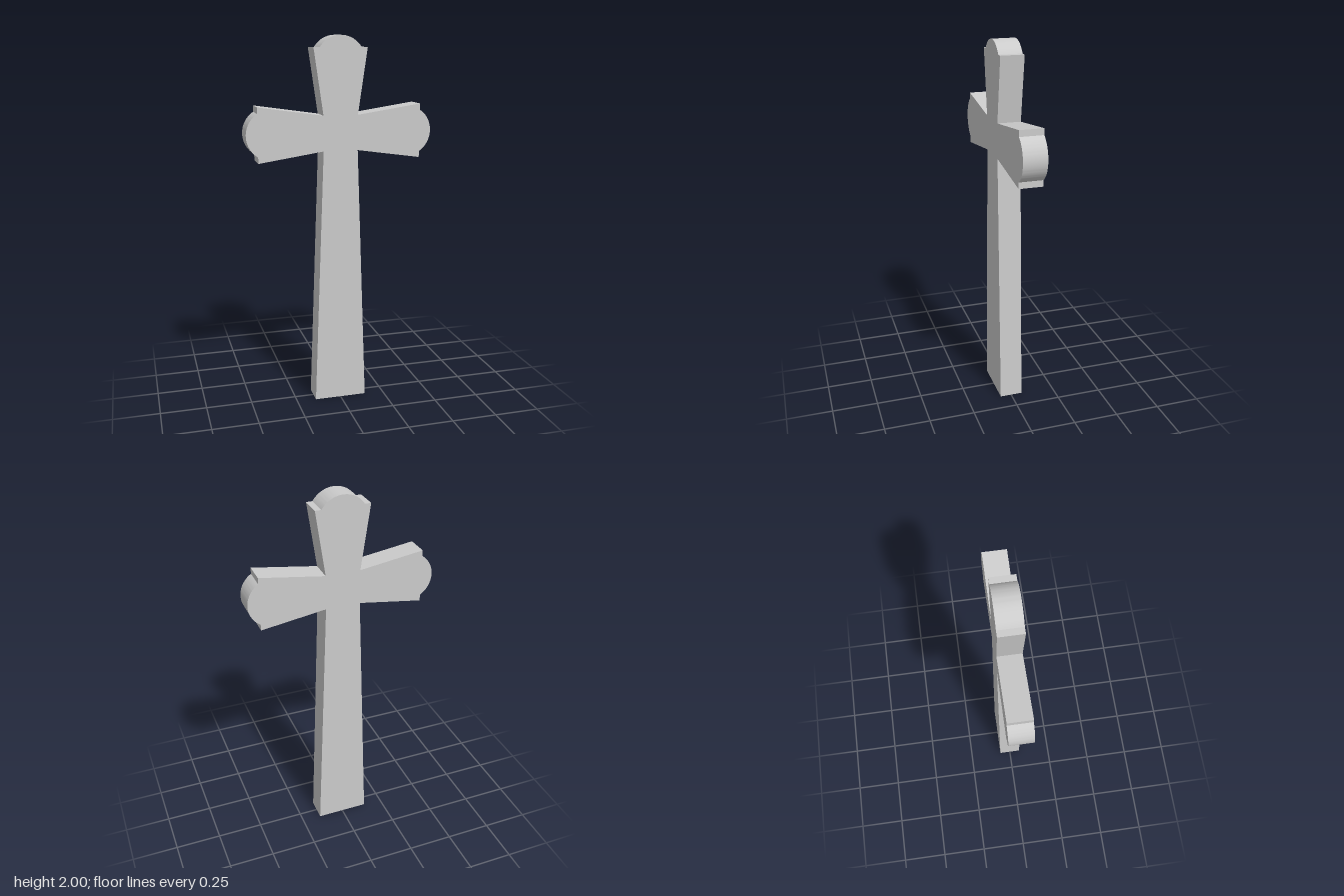
import * as THREE from 'three';
import { toCreasedNormals } from 'three/addons/utils/BufferGeometryUtils.js';

const CENTRE_Y = 1.5;
const DEPTH = 0.125;
const INNER = 0.093;     // half width where the arms meet
const FLARE = 0.144;     // half width at the end of each arm
const ARM = 0.439;       // centre to the shoulders of an arm
const TIP = 0.5;         // centre to the tip of a rounded cap
const CAP_HALF = 0.111;  // half width of a rounded cap

// Rounded end of an arm pointing along +x, from its lower to its upper corner
function capPoints(segments = 32) {
  const rise = TIP - ARM;
  const radius = (CAP_HALF ** 2 + rise ** 2) / (2 * rise);
  const half = Math.asin(CAP_HALF / radius);
  const points = [];
  for (let i = 0; i <= segments; i++) {
    const a = -half + (2 * half * i) / segments;
    points.push(new THREE.Vector2(TIP - radius + radius * Math.cos(a), radius * Math.sin(a)));
  }
  return points;
}

export function createModel() {
  const group = new THREE.Group();
  group.name = 'cross';

  // Outline: right, top and left arms share one profile, turned in quarter steps
  const arm = [
    new THREE.Vector2(INNER, -INNER),
    new THREE.Vector2(ARM, -FLARE),
    ...capPoints(),
    new THREE.Vector2(ARM, FLARE),
  ];
  const origin = new THREE.Vector2();
  const outline = [];
  for (let i = 0; i < 3; i++) {
    for (const p of arm) outline.push(p.clone().rotateAround(origin, (i * Math.PI) / 2));
  }

  // Long flared shaft with a flat foot
  outline.push(
    new THREE.Vector2(-INNER, -INNER),
    new THREE.Vector2(-FLARE, -CENTRE_Y),
    new THREE.Vector2(FLARE, -CENTRE_Y),
  );

  // Flat slab with sharp edges and smooth caps
  const slab = new THREE.ExtrudeGeometry(new THREE.Shape(outline), {
    depth: DEPTH,
    bevelEnabled: false,
  });
  slab.translate(0, CENTRE_Y, -DEPTH / 2);
  const body = new THREE.Mesh(
    toCreasedNormals(slab, Math.PI / 9),
    new THREE.MeshStandardMaterial({ color: 0xcccccc }),
  );
  body.name = 'crossBody';
  group.add(body);
  return group;
}
